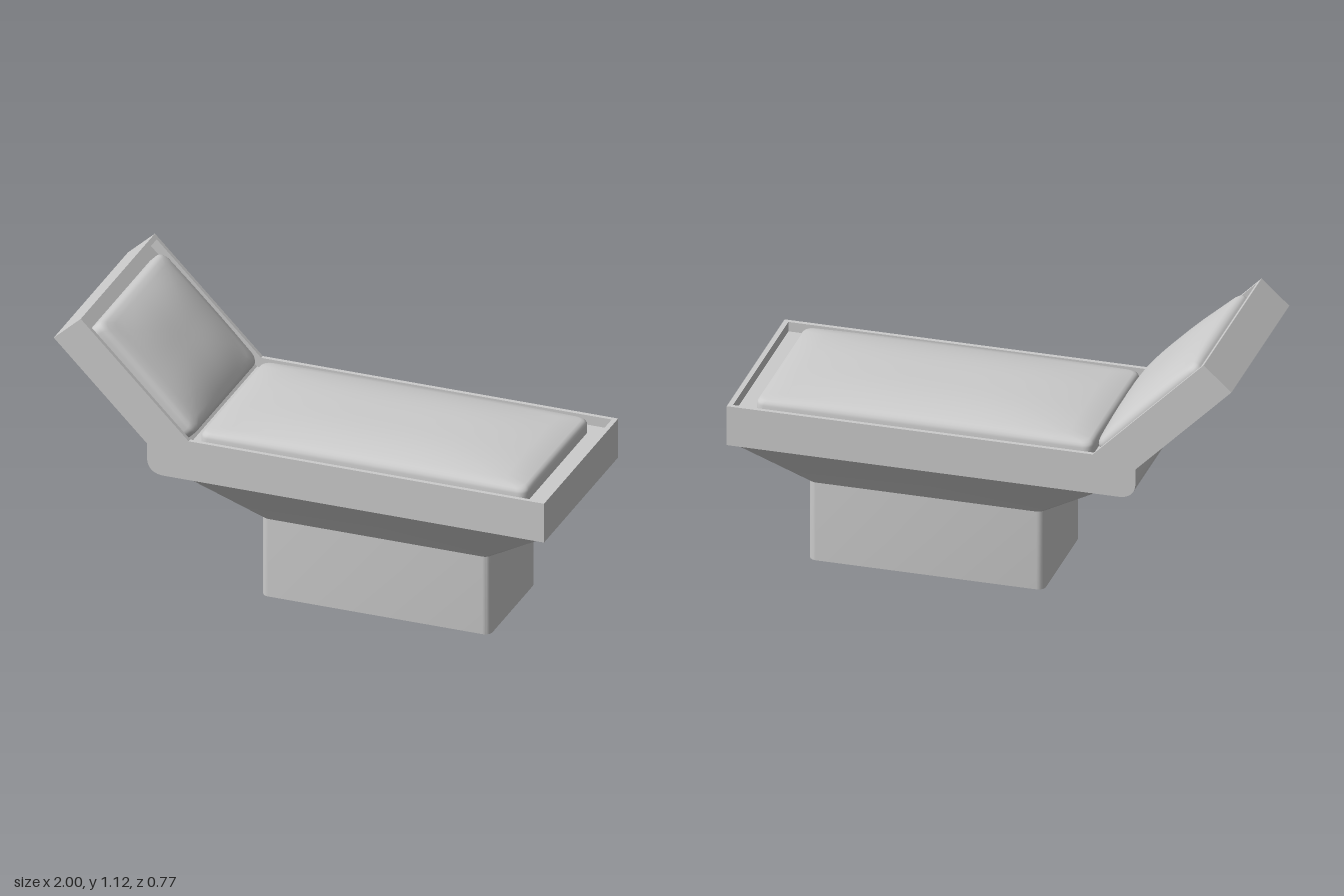
import * as THREE from 'three';
import { toCreasedNormals } from 'three/addons/utils/BufferGeometryUtils.js';

const material = new THREE.MeshStandardMaterial({ color: 0xcccccc });

function part(name, geometry, crease = 0.6) {
  const mesh = new THREE.Mesh(toCreasedNormals(geometry, crease), material);
  mesh.name = name;
  return mesh;
}

// Rounded rectangle outline in x/z, counter-clockwise seen from above
function outline(a, b, r, edgeSeg = 1, arcSeg = 5) {
  const pts = [];
  [[1, 1], [-1, 1], [-1, -1], [1, -1]].forEach(([sx, sz], i) => {
    for (let k = 0; k <= arcSeg; k++) {
      const t = (i + k / arcSeg) * Math.PI / 2;
      pts.push([sx * (a - r) + r * Math.cos(t), -sz * (b - r) - r * Math.sin(t)]);
    }
  });
  const out = [];
  pts.forEach((p, i) => {
    const q = pts[(i + 1) % pts.length];
    const n = i % (arcSeg + 1) === arcSeg ? edgeSeg : 1;
    for (let k = 0; k < n; k++) {
      out.push([p[0] + (q[0] - p[0]) * k / n, p[1] + (q[1] - p[1]) * k / n]);
    }
  });
  return out;
}

// Skin between rings of [x, y, z], bottom to top, with both ends closed
function loft(rings) {
  const n = rings[0].length;
  const centre = (ring) => [0, 1, 2].map((c) => ring.reduce((s, p) => s + p[c], 0) / n);
  const last = rings.length - 1;
  const verts = [...rings.flat(), centre(rings[0]), centre(rings[last])];
  const index = [];
  for (let k = 0; k < n; k++) {
    const m = (k + 1) % n;
    for (let i = 0; i < last; i++) {
      const lo = i * n, up = lo + n;
      index.push(lo + k, lo + m, up + m, lo + k, up + m, up + k);
    }
    index.push(verts.length - 2, m, k, verts.length - 1, last * n + k, last * n + m);
  }
  const g = new THREE.BufferGeometry();
  g.setAttribute('position', new THREE.Float32BufferAttribute(verts.flat(), 3));
  g.setIndex(index);
  return g;
}

// Padded cushion: straight sides, rounded edge and a crowned top
function cushion(a, b) {
  const base = outline(a, b, 0.035, 10);
  const steps = [[0, 0], [0, 0.035], [0.003, 0.044], [0.01, 0.051], [0.02, 0.055]];
  for (let i = 1; i <= 9; i++) steps.push([0.02 + (b - 0.03) * i / 9, 0.055]);
  return loft(steps.map(([inset, y]) => base.map(([x, z]) => {
    const s = inset <= 0.02 ? [(a - inset) / a, (b - inset) / b]
      : Array(2).fill((b - inset) / b);
    const px = x * s[0], pz = z * s[1];
    const crown = 0.042 * (1 - Math.abs(px / a) ** 3) * (1 - Math.abs(pz / b) ** 3);
    return [px, y + (inset > 0 ? crown : 0), pz];
  })));
}

// Side profile of the lounger; the tray version has its top sunk below the rim
function profile(top) {
  const s = new THREE.Shape();
  s.moveTo(-1, 1.02);
  s.lineTo(-0.62, 0.64);
  s.lineTo(-0.62, 0.575);
  s.quadraticCurveTo(-0.615, 0.52, -0.56, 0.515);
  s.lineTo(1, 0.515);
  top.forEach(([x, y]) => s.lineTo(x, y));
  s.closePath();
  return s;
}

function slab(shape, z0, z1) {
  return new THREE.ExtrudeGeometry(shape, { depth: z1 - z0, bevelEnabled: false, curveSegments: 6 })
    .translate(0, 0, z0);
}

export function createModel() {
  const group = new THREE.Group();
  group.name = 'lounger';

  // Tray with floor and end lips, closed by two thin side panels
  const tray = profile([[1, 0.68], [0.98, 0.68], [0.98, 0.64], [-0.467, 0.64],
    [-0.904, 1.078], [-0.876, 1.106], [-0.89, 1.12]]);
  const side = profile([[1, 0.68], [-0.45, 0.68], [-0.89, 1.12]]);
  group.add(part('tray', slab(tray, -0.37, 0.37)));
  group.add(part('leftSidePanel', slab(side, 0.37, 0.387)));
  group.add(part('rightSidePanel', slab(side, -0.387, -0.37)));

  // Cushions resting on the tray floor
  const seat = part('seatCushion', cushion(0.667, 0.335), 0.9);
  seat.position.set(0.238, 0.64, 0);
  group.add(seat);

  const back = part('backrestCushion', cushion(0.28, 0.335), 0.9);
  back.position.set(-0.677, 0.851, 0);
  back.rotation.z = -Math.PI / 4;
  group.add(back);

  // Pedestal block and the flare that widens up to the tray
  const level = (pts, y, cx) => pts.map(([x, z]) => [x + cx, y, z]);
  const foot = outline(0.467, 0.24, 0.03);
  group.add(part('pedestal', loft([level(foot, 0, 0.254), level(foot, 0.33, 0.254)])));
  group.add(part('flare', loft([
    level(foot, 0.33, 0.254),
    level(outline(0.725, 0.368, 0), 0.516, 0.255),
  ])));
  return group;
}
